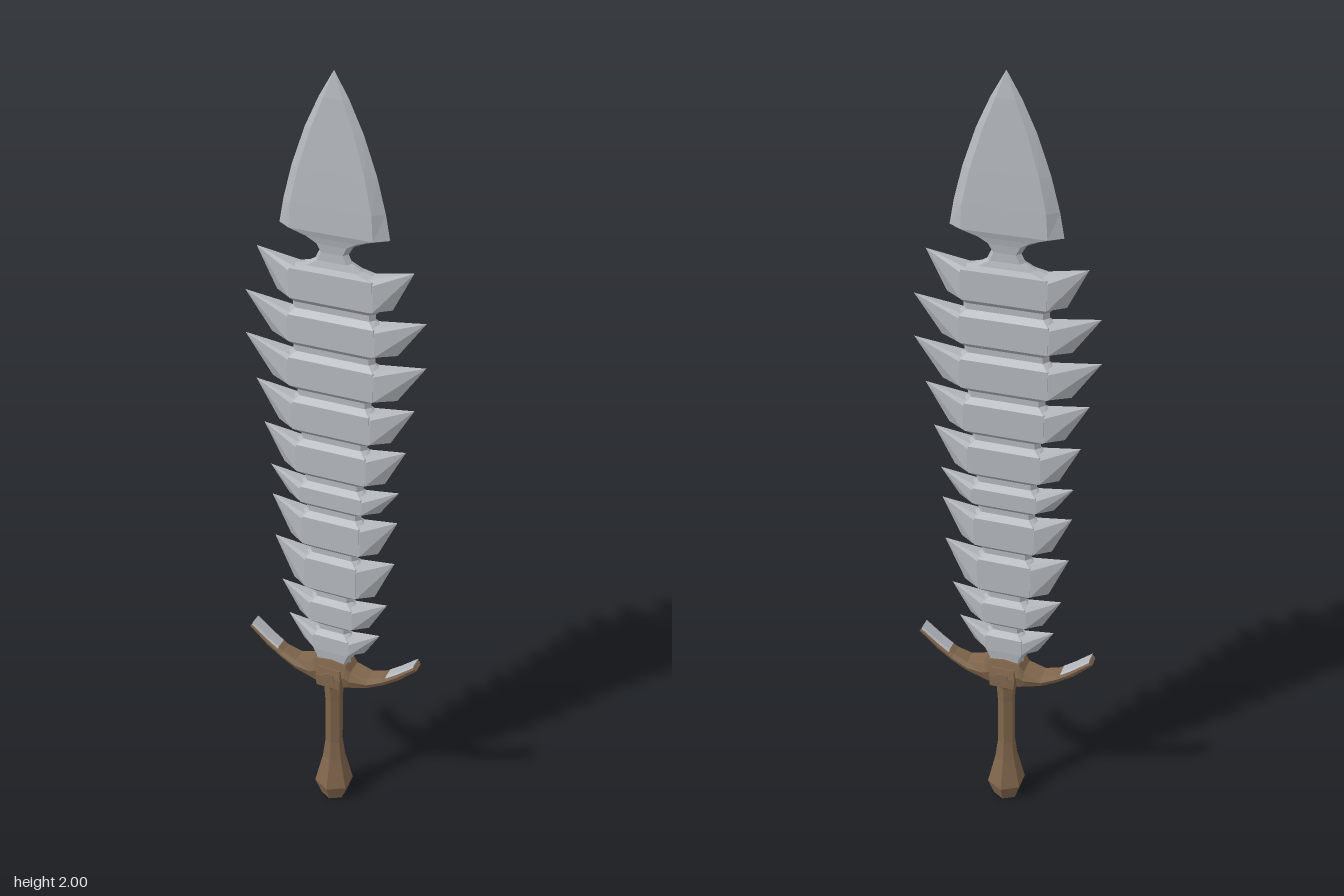
import * as THREE from 'three';
import { ConvexGeometry } from 'three/addons/geometries/ConvexGeometry.js';

const steel = new THREE.MeshStandardMaterial({ color: 0xb4b8bd, flatShading: true });
const bronze = new THREE.MeshStandardMaterial({ color: 0x80664c, flatShading: true });

// Skins a stack of equal-length convex rings and closes both ends.
function loft(rings) {
  const n = rings[0].length, pos = [], idx = [], last = (rings.length - 1) * n;
  rings.forEach(r => r.forEach(p => pos.push(...p)));
  for (let i = 0; i < rings.length - 1; i++) {
    for (let j = 0; j < n; j++) {
      const a = i * n + j, b = i * n + (j + 1) % n;
      idx.push(a, a + n, b, b, a + n, b + n);
    }
  }
  for (let j = 1; j < n - 1; j++) {
    idx.push(0, j, j + 1, last, last + j + 1, last + j);
  }
  const g = new THREE.BufferGeometry();
  g.setAttribute('position', new THREE.Float32BufferAttribute(pos, 3));
  g.setIndex(idx);
  g.computeVertexNormals();
  return g;
}

// Bevelled blade section: half width w, flat half width f, half thickness t.
const bladeRing = ([y, w, f, t]) => [
  [w, y, 0], [f, y, t], [-f, y, t], [-w, y, 0], [-f, y, -t], [f, y, -t],
];

// Guard section across x, with its tips skewed by s.
const guardRing = ([x, yb, yt, z, s = 0]) => {
  const m = (yb + yt) / 2;
  return [
    [x - s, yt, z * 0.75], [x - s, yt, -z * 0.75], [x, m, -z],
    [x + s, yb, -z * 0.75], [x + s, yb, z * 0.75], [x, m, z],
  ];
};
const mirrorRows = rows => [
  ...rows.slice(1).reverse().map(([x, b, t, z, s = 0]) => [-x, b, t, z, -s]), ...rows,
];

// Barbs from top to bottom: tip height, tip x, body half width.
const barbs = [
  [1.575, 0.19, 0.115], [1.46, 0.222, 0.12], [1.35, 0.225, 0.12], [1.235, 0.2, 0.112],
  [1.12, 0.182, 0.103], [1.005, 0.167, 0.094], [0.92, 0.165, 0.09], [0.8, 0.16, 0.082],
  [0.67, 0.143, 0.07], [0.57, 0.125, 0.062],
];

export function createModel() {
  const group = new THREE.Group();
  const add = (name, geometry, material, parent = group) => {
    const m = new THREE.Mesh(geometry, material);
    m.name = name;
    parent.add(m);
    return m;
  };

  // Ridged blade core, thick at each segment and pinched between them
  const rows = [[0.45, 0.045, 0.035, 0.02], [0.475, 0.048, 0.038, 0.022]];
  for (let i = barbs.length - 1; i >= 0; i--) {
    const [tip, , w] = barbs[i];
    const low = i < barbs.length - 1 ? barbs[i + 1][0] + 0.012 : 0.495;
    const g = w - 0.018;
    rows.push([low, w, w - 0.015, 0.024], [tip - 0.03, w, w - 0.015, 0.024]);
    if (i > 0) rows.push([tip - 0.015, g, g - 0.012, 0.013], [tip, g, g - 0.012, 0.013]);
  }
  // Narrow neck and spear-shaped head
  rows.push(
    [1.557, 0.07, 0.06, 0.018], [1.572, 0.045, 0.035, 0.014], [1.592, 0.035, 0.026, 0.013],
    [1.612, 0.047, 0.036, 0.015], [1.627, 0.08, 0.06, 0.018], [1.641, 0.132, 0.1, 0.022],
    [1.7, 0.121, 0.096, 0.021], [1.78, 0.1, 0.078, 0.017], [1.87, 0.068, 0.05, 0.012],
    [1.94, 0.035, 0.022, 0.008], [2, 0, 0, 0],
  );
  add('blade', loft(rows.map(bladeRing)), steel);

  // Swept barbs along both edges
  const barbGroup = new THREE.Group();
  barbGroup.name = 'barbs';
  group.add(barbGroup);
  barbs.forEach(([tip, x, w], i) => {
    const low = i < barbs.length - 1 ? barbs[i + 1][0] + 0.014 : 0.5;
    for (const side of [1, -1]) {
      const pts = [];
      for (const z of [0.0235, -0.0235]) {
        for (const [px, py] of [[w - 0.05, low], [w - 0.05, tip - 0.032], [w - 0.012, low], [w - 0.012, tip - 0.036]]) {
          pts.push(new THREE.Vector3(side * px, py, z));
        }
      }
      pts.push(
        new THREE.Vector3(side * (w + (x - w) * 0.35), low + 0.003, 0),
        new THREE.Vector3(side * x, tip, 0),
      );
      add(side > 0 ? 'leftBarb' : 'rightBarb', new ConvexGeometry(pts), steel, barbGroup);
    }
  });

  // Upswept crossguard
  const arm = [
    [0, 0.395, 0.472, 0.036], [0.042, 0.396, 0.466, 0.035], [0.055, 0.399, 0.447, 0.033],
    [0.1, 0.409, 0.437, 0.027], [0.14, 0.43, 0.451, 0.022, 0.003],
    [0.18, 0.458, 0.477, 0.02, 0.004], [0.226, 0.503, 0.514, 0.02, 0.005],
  ];
  add('crossguard', loft(mirrorRows(arm).map(guardRing)), bronze);

  // Steel facing on the upper ends of the guard
  for (const side of [1, -1]) {
    const tipRows = [[0.15, 0.452, 0.461, 0.02], [0.178, 0.472, 0.481, 0.02], [0.223, 0.51, 0.518, 0.02]];
    const list = side > 0 ? tipRows : tipRows.map(([x, b, t, z]) => [-x, b, t, z]).reverse();
    add(side > 0 ? 'leftGuardTip' : 'rightGuardTip', loft(list.map(guardRing)), steel);
  }

  // Collar and round boss at the middle of the guard
  const collar = [[0.394, 0.045, 0.032, 0.04], [0.425, 0.047, 0.034, 0.041], [0.45, 0.042, 0.03, 0.036]];
  add('collar', loft(collar.map(bladeRing)), bronze);
  const boss = add('boss', new THREE.CylinderGeometry(0.019, 0.019, 0.088, 8), bronze);
  boss.rotation.x = Math.PI / 2;
  boss.position.y = 0.421;

  // Six-sided grip flaring into the pommel
  const profile = [
    [0, 0], [0.034, 0.004], [0.051, 0.05], [0.03, 0.135], [0.023, 0.19],
    [0.023, 0.33], [0.026, 0.375], [0.034, 0.4], [0, 0.4],
  ].map(([x, y]) => new THREE.Vector2(x, y));
  add('grip', new THREE.LatheGeometry(profile, 6), bronze);

  return group;
}
